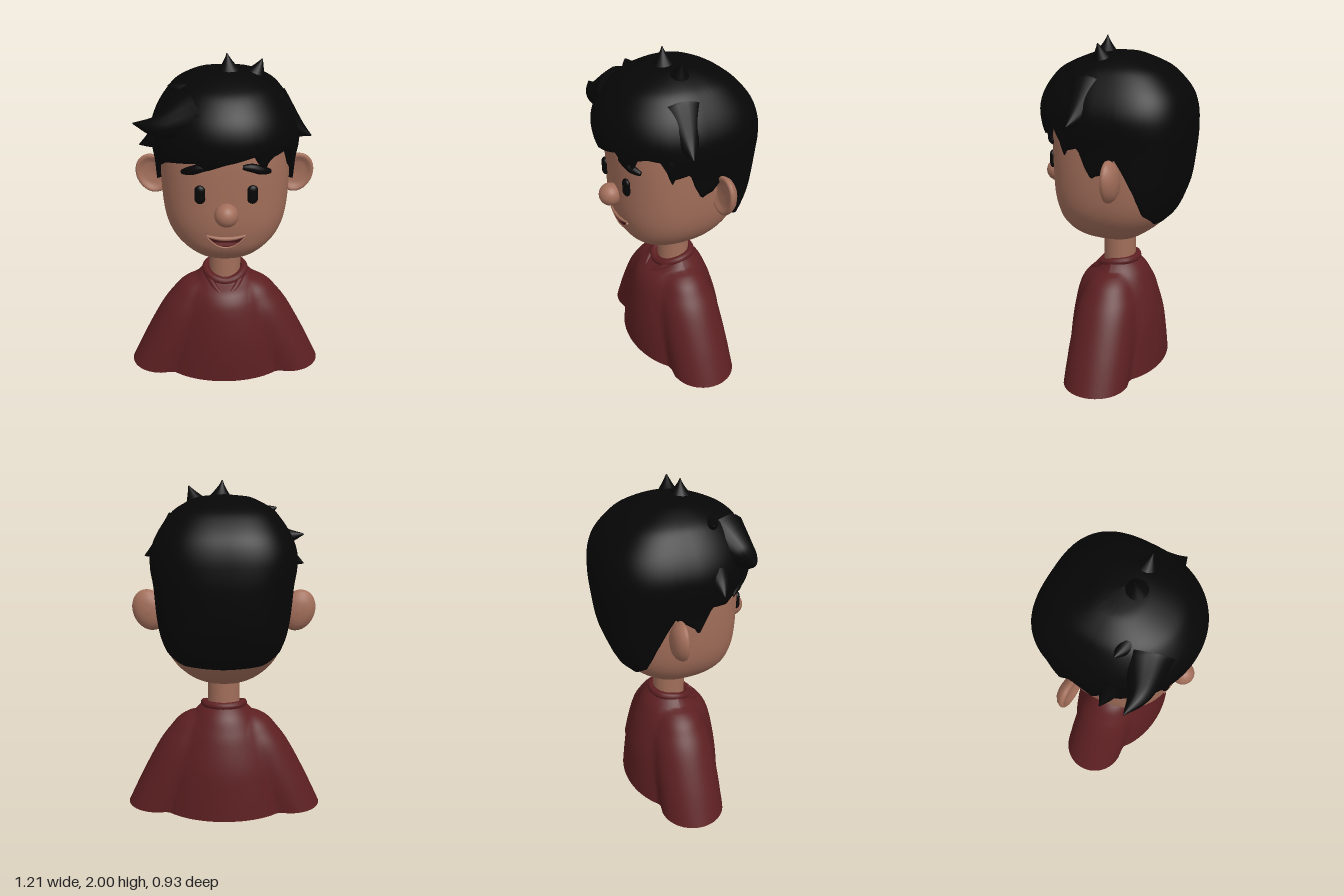
import * as THREE from 'three';

const mat = (name, color) => {
  const m = new THREE.MeshStandardMaterial({ color });
  m.name = name;
  return m;
};

// Closed skin over rings of points; rings run counterclockwise around the direction of travel
function skin(rings) {
  const n = rings[0].length, pos = [], idx = [];
  const put = (p) => pos.push(p.x, p.y, p.z);
  rings.forEach((r) => r.forEach(put));
  for (let i = 0; i < rings.length - 1; i++) {
    for (let j = 0; j < n; j++) {
      const k = (j + 1) % n, a = i * n + j, b = i * n + k, c = b + n, d = a + n;
      idx.push(a, b, c, a, c, d);
    }
  }
  [[rings[0], true], [rings[rings.length - 1], false]].forEach(([ring, first]) => {
    const base = pos.length / 3;
    ring.forEach(put);
    const mid = new THREE.Vector3();
    ring.forEach((p) => mid.addScaledVector(p, 1 / n));
    put(mid);
    for (let j = 0; j < n; j++) {
      const k = (j + 1) % n;
      idx.push(base + n, base + (first ? k : j), base + (first ? j : k));
    }
  });
  const g = new THREE.BufferGeometry();
  g.setAttribute('position', new THREE.Float32BufferAttribute(pos, 3));
  g.setIndex(idx);
  g.computeVertexNormals();
  return g;
}

// Smooth resampling of key rows whose first column is the height
function resample(rows, count) {
  const out = [], last = rows.length - 1;
  for (let i = 0; i <= count; i++) {
    const t = (i / count) * last, k = Math.min(Math.floor(t), last - 1), f = t - k;
    const p0 = rows[Math.max(k - 1, 0)], p1 = rows[k], p2 = rows[k + 1], p3 = rows[Math.min(k + 2, last)];
    out.push(p1.map((v, c) => {
      const m1 = (p2[c] - p0[c]) / 2, m2 = (p3[c] - p1[c]) / 2, d = p2[c] - v;
      return v + f * (m1 + f * (3 * d - 2 * m1 - m2 + f * (m1 + m2 - 2 * d)));
    }));
  }
  return out;
}

function rowAt(rows, y) {
  let k = 0;
  while (k < rows.length - 2 && rows[k + 1][0] < y) k++;
  const a = rows[k], b = rows[k + 1];
  const f = THREE.MathUtils.clamp((y - a[0]) / (b[0] - a[0]), 0, 1);
  return a.map((v, c) => v + (b[c] - v) * f);
}

// Point on a superellipse section [y, halfWidth, front, back]; angle 0 is the front, 90 degrees is +x
function sectionPoint([y, hx, zf, zb], a, nFront, nBack = nFront) {
  const s = Math.sin(a), c = Math.cos(a), e = 2 / (c > 0 ? nFront : nBack);
  return new THREE.Vector3(hx * Math.sign(s) * Math.abs(s) ** e, y, (c > 0 ? zf : -zb) * Math.abs(c) ** e);
}

const ringOf = (seg, fn) => Array.from({ length: seg }, (_, j) => fn((j / seg) * Math.PI * 2));

// Tapering tube along a curve, radius given as a function of t
function strand(points, radius, steps = 18, sides = 16) {
  const curve = new THREE.CatmullRomCurve3(points.map((p) => new THREE.Vector3(...p)));
  const { normals, binormals } = curve.computeFrenetFrames(steps);
  const rings = [];
  for (let i = 0; i <= steps; i++) {
    const p = curve.getPointAt(i / steps), r = radius(i / steps);
    rings.push(ringOf(sides, (a) => p.clone()
      .addScaledVector(normals[i], r * Math.cos(a)).addScaledVector(binormals[i], r * Math.sin(a))));
  }
  return skin(rings);
}

const HEAD_N = 2.4;
const headRows = resample([
  [0.795, 0.06, 0.1, 0.06], [0.81, 0.13, 0.18, 0.12], [0.85, 0.21, 0.26, 0.19],
  [0.92, 0.285, 0.32, 0.28], [1.0, 0.335, 0.348, 0.345], [1.1, 0.362, 0.365, 0.385],
  [1.25, 0.375, 0.37, 0.41], [1.45, 0.375, 0.37, 0.415], [1.6, 0.36, 0.35, 0.4],
  [1.75, 0.28, 0.27, 0.3], [1.84, 0.1, 0.1, 0.1]], 60);
const faceZ = (x, y) => {
  const r = rowAt(headRows, y);
  return r[2] * (1 - Math.min(1, Math.abs(x) / r[1]) ** HEAD_N) ** (1 / HEAD_N);
};

const hairRows = resample([
  [0.92, 0.3, 0.33, 0.285], [0.96, 0.335, 0.36, 0.322], [1.0, 0.358, 0.38, 0.362],
  [1.1, 0.385, 0.39, 0.405], [1.2, 0.397, 0.4, 0.435], [1.4, 0.412, 0.415, 0.46],
  [1.5, 0.428, 0.445, 0.463], [1.6, 0.426, 0.455, 0.455], [1.7, 0.388, 0.425, 0.42],
  [1.8, 0.32, 0.35, 0.335], [1.85, 0.265, 0.275, 0.26], [1.9, 0.165, 0.15, 0.14],
  [1.913, 0.09, 0.08, 0.08], [1.92, 0.002, 0.002, 0.002]], 90);
// Hairline heights by angle in degrees from the front
const hairline = [
  [-180, 0.945], [-147, 0.965], [-124, 1.04], [-116, 1.12], [-108, 1.22], [-98, 1.37], [-93, 1.34], [-87, 1.25],
  [-77, 1.41], [-63, 1.4], [-56, 1.44], [-40, 1.46], [-22, 1.48], [-13, 1.44], [0, 1.48], [20, 1.52], [27, 1.44],
  [35, 1.5], [47, 1.52], [56, 1.51], [63, 1.39], [77, 1.42], [82, 1.32], [87, 1.25], [92, 1.28],
  [98, 1.37], [108, 1.22], [116, 1.12], [124, 1.04], [147, 0.965], [180, 0.945]];

function hairCap() {
  const steps = 36, rings = [];
  for (let i = -1; i <= steps; i++) {
    rings.push(ringOf(180, (a) => {
      const deg = THREE.MathUtils.radToDeg(a);
      const y0 = rowAt(hairline, deg > 180 ? deg - 360 : deg)[1];
      const y = y0 + (1.92 - y0) * Math.sin((Math.max(i, 0) / steps) * Math.PI / 2);
      const p = sectionPoint(rowAt(hairRows, y), a, 2.1, 2.8);
      // The first ring tucks the lower edge into the head
      if (i < 0) { p.x *= 0.84; p.z *= 0.84; p.y += 0.015; }
      return p;
    }));
  }
  return skin(rings);
}

// Shirt: an oval body blended with a round sleeve on each side
function shirt() {
  const body = resample([
    [0, 0.42, 0.292, 0.312], [0.15, 0.385, 0.287, 0.3], [0.3, 0.34, 0.272, 0.283], [0.45, 0.275, 0.245, 0.245],
    [0.53, 0.235, 0.212, 0.215], [0.6, 0.185, 0.15, 0.182], [0.65, 0.14, 0.105, 0.138], [0.667, 0.11, 0.085, 0.11]], 48);
  const sleeve = resample([[0, 0.41, 0.195], [0.2, 0.32, 0.19], [0.4, 0.228, 0.175], [0.5, 0.185, 0.145],
    [0.56, 0.165, 0.112], [0.6, 0.145, 0.065], [0.612, 0.135, 0.01], [0.667, 0.05, 0.005]], 48);
  return skin(body.map((row) => ringOf(128, (a) => {
    const y = row[0], [, c, r] = rowAt(sleeve, y), s = Math.sin(a), k = Math.cos(a);
    const rb = 1 / Math.hypot(s / row[1], k / (k > 0 ? row[2] : row[3]));
    const along = c * Math.abs(s), under = r * r - (c * k) ** 2;
    const ra = under > 0 ? along + Math.sqrt(under) : 0;
    const d = (ra + rb + Math.hypot(ra - rb, 0.025)) / 2;
    // The neckline dips towards the front
    const dip = 0.035 * THREE.MathUtils.smoothstep(y, 0.55, 0.667) * Math.max(k, 0);
    return new THREE.Vector3(d * s, y - dip, d * k);
  })));
}

// Thin plate laid on the face between two curves over u = -1..1
function facePlate(halfWidth, bottom, top, lift) {
  const g = new THREE.PlaneGeometry(2, 1, 24, 4), p = g.attributes.position;
  for (let i = 0; i < p.count; i++) {
    const u = p.getX(i), x = u * halfWidth;
    const y = THREE.MathUtils.lerp(bottom(u), top(u), p.getY(i) + 0.5);
    p.setXYZ(i, x, y, faceZ(x, y) + lift);
  }
  g.computeVertexNormals();
  return g;
}

export function createModel() {
  const model = new THREE.Group();
  model.name = 'characterBust';
  const skinTone = mat('skin', 0xa26e5a), black = mat('hairBlack', 0x060606);
  const maroon = mat('shirtMaroon', 0x5c1f21), mouthRed = mat('mouthRed', 0x4a1719), tongueRed = mat('tongueRed', 0x7c3a3c);
  const add = (name, geometry, material, parent = model) => {
    const m = new THREE.Mesh(geometry, material);
    m.name = name;
    parent.add(m);
    return m;
  };

  // Head, neck and nose
  add('head', skin(headRows.map((r) => ringOf(64, (a) => sectionPoint(r, a, HEAD_N)))), skinTone);
  add('neck', new THREE.CylinderGeometry(0.097, 0.097, 0.3, 40), skinTone).position.set(0, 0.72, -0.012);
  add('nose', new THREE.SphereGeometry(0.067, 32, 24), skinTone).position.set(0, 1.177, 0.397);

  // Ears are shallow dishes with domed backs; eyes and brows sit on the face
  const earProfile = [[0, -0.038], [0.35, -0.036], [0.65, -0.027], [0.87, -0.01], [0.98, 0.01], [1, 0.02], [0.97, 0.03],
    [0.9, 0.035], [0.8, 0.032], [0.68, 0.022], [0.5, 0.014], [0, 0.01]].map((p) => new THREE.Vector2(...p));
  [1, -1].forEach((s) => {
    const side = s > 0 ? 'left' : 'right';
    const ear = add(side + 'Ear', new THREE.LatheGeometry(earProfile, 48).rotateX(Math.PI / 2).scale(0.1, 0.125, 1), skinTone);
    ear.position.set(s * 0.437, 1.255, -0.11);
    ear.rotation.z = -s * 0.35;
    const eye = add(side + 'Eye', new THREE.CapsuleGeometry(0.03, 0.048, 10, 24).scale(1, 1, 0.6), black);
    eye.position.set(s * 0.145, 1.285, faceZ(0.145, 1.285) + 0.006);
    eye.rotation.y = s * 0.12;
    const brow = [[0.09, 1.444], [0.14, 1.438], [0.19, 1.42], [0.242, 1.404]]
      .map(([x, y]) => [s * x, y, faceZ(x, y) + 0.004]);
    add(side + 'Eyebrow', strand(brow, (t) => 0.004 + 0.022 * Math.sin(Math.PI * (0.06 + 0.88 * t)) ** 0.6), black);
  });

  // Open smile with lips
  const top = (u) => 1.008 + 0.018 * u * u, bottom = (u) => 1.026 - 0.07 * (1 - u * u);
  add('mouthInside', facePlate(0.102, bottom, top, 0.004), mouthRed);
  add('tongue', facePlate(0.07, (u) => 0.964 + 0.024 * u * u, (u) => 0.993 - 0.003 * u * u, 0.007), tongueRed);
  const lip = (edge, lift) => [-1, -0.75, -0.4, 0, 0.4, 0.75, 1]
    .map((u) => [u * 0.11, edge(u) + lift, faceZ(u * 0.11, edge(u)) + 0.003]);
  add('upperLip', strand(lip(top, 0.006), (t) => 0.006 + 0.006 * Math.sin(Math.PI * t), 32), skinTone);
  add('lowerLip', strand(lip(bottom, -0.004), () => 0.006, 32), skinTone);

  // Hair cap with swept locks: points from root to tip, root radius, taper power
  const hair = new THREE.Group();
  hair.name = 'hair';
  model.add(hair);
  add('hairCap', hairCap(), black, hair);
  [
    [[[-0.18, 1.7, 0.24], [-0.36, 1.655, 0.3], [-0.5, 1.67, 0.29]], 0.15, 1],
    [[[-0.27, 1.62, 0.11], [-0.4, 1.54, 0.14], [-0.485, 1.505, 0.135]], 0.14, 1],
    [[[-0.08, 1.76, 0.13], [-0.23, 1.81, 0.14], [-0.315, 1.84, 0.13]], 0.12, 0.9],
    [[[0.25, 1.68, 0.08], [0.4, 1.59, 0.11], [0.485, 1.55, 0.13]], 0.15, 1],
    [[[0.03, 1.74, 0.05], [0.02, 1.89, 0.06], [0.01, 2.0, 0.06]], 0.23, 1.3],
    [[[0.1, 1.74, 0.02], [0.165, 1.87, 0.04], [0.207, 1.967, 0.05]], 0.16, 1.1],
    [[[0.1, 1.68, 0.3], [0.0, 1.55, 0.39], [-0.12, 1.445, 0.385]], 0.1, 0.8],
    [[[0.18, 1.65, 0.28], [0.2, 1.54, 0.335], [0.21, 1.425, 0.35]], 0.09, 0.8],
    [[[-0.1, 1.66, 0.3], [-0.25, 1.54, 0.31], [-0.36, 1.43, 0.24]], 0.09, 0.8],
    [[[0.26, 1.65, 0.18], [0.35, 1.5, 0.19], [0.37, 1.37, 0.19]], 0.08, 0.8],
  ].forEach(([points, r, power], i) =>
    add('lock' + (i + 1), strand(points, (t) => 0.003 + r * (1 - t) ** power), black, hair));

  add('shirt', shirt(), maroon);

  // Collar ring dipping at the front, with a small V fold beneath
  const collar = new THREE.CatmullRomCurve3([
    [0, 0.612, 0.105], [0.075, 0.628, 0.085], [0.12, 0.655, 0.01], [0.09, 0.665, -0.085],
    [0, 0.665, -0.12], [-0.09, 0.665, -0.085], [-0.12, 0.655, 0.01], [-0.075, 0.628, 0.085],
  ].map((p) => new THREE.Vector3(...p)), true);
  add('collar', new THREE.TubeGeometry(collar, 64, 0.023, 14, true), maroon);
  [1, -1].forEach((s) => add('collarFold', strand(
    [[s * 0.11, 0.637, 0.04], [s * 0.065, 0.588, 0.13], [0, 0.535, 0.195]], (t) => 0.024 - 0.014 * t), maroon));

  return model;
}
